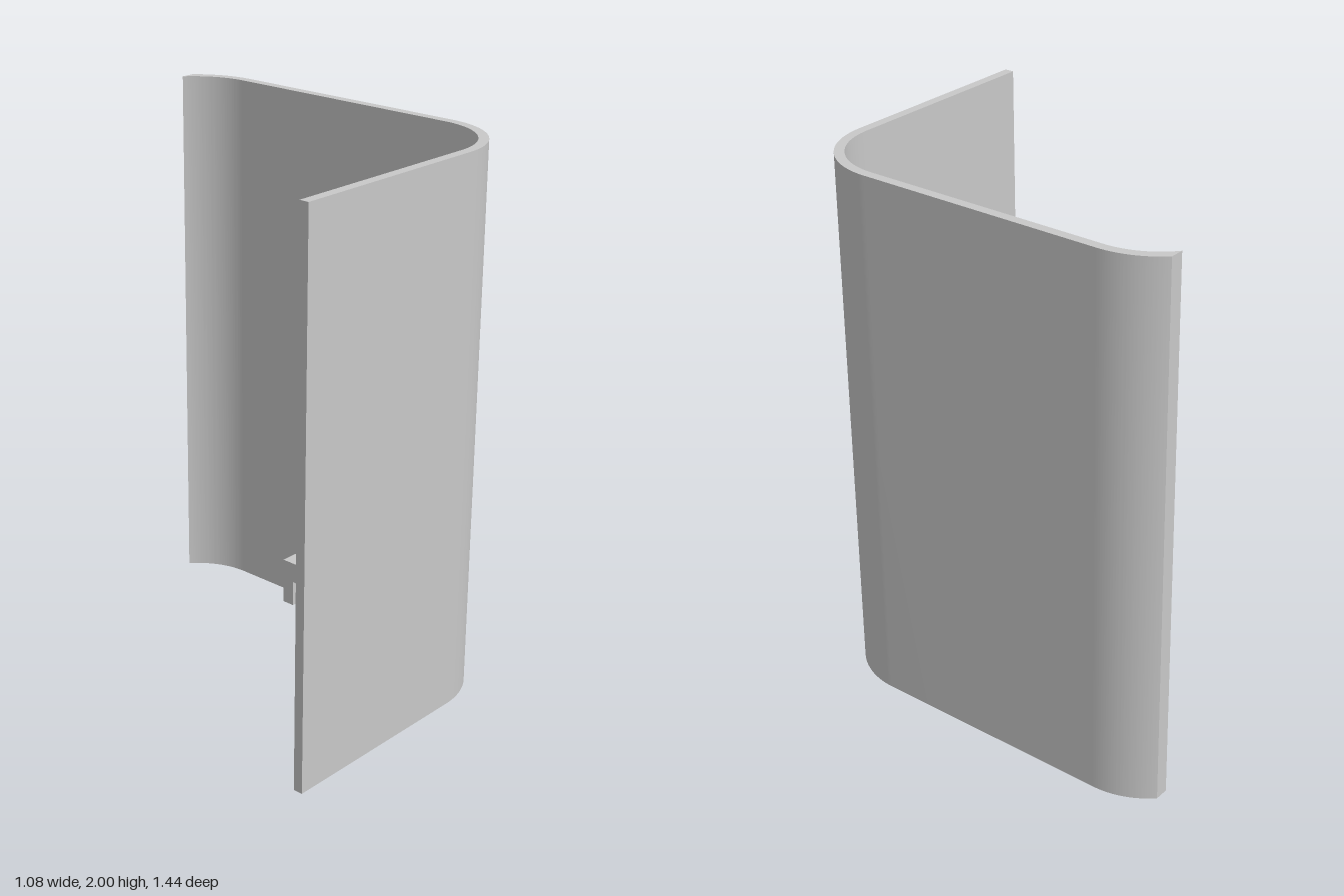
import * as THREE from 'three';
import { toCreasedNormals } from 'three/addons/utils/BufferGeometryUtils.js';

const grey = new THREE.MeshStandardMaterial({ color: 0xc8c8c8 });
grey.name = 'plain grey';

const extrude = (shape, depth) =>
  new THREE.ExtrudeGeometry(shape, { depth, bevelEnabled: false, curveSegments: 24 });

function part(name, geometry) {
  const mesh = new THREE.Mesh(geometry, grey);
  mesh.name = name;
  return mesh;
}

const polygon = (points) => new THREE.Shape(points.map(([x, y]) => new THREE.Vector2(x, y)));

// Curved sheet: plan outline drawn in (x, -z) and raised along y
function panel() {
  const end = 0.72, side = 0.54, t = 0.035, r = 0.305;
  const cx = side - r, front = r - end, back = 0.51;
  const s = new THREE.Shape();
  s.moveTo(-side, -end);
  s.lineTo(cx, -end);
  s.absarc(cx, front, r, -Math.PI / 2, 0, false);
  s.absarc(cx, back, r, 0, Math.asin((end - back) / r), false);
  s.absarc(cx, back, r - t, Math.asin((end - back) / (r - t)), 0, true);
  s.absarc(cx, front, r - t, 0, -Math.PI / 2, true);
  s.lineTo(-side, -end + t);
  s.closePath();
  return toCreasedNormals(extrude(s, 2).rotateX(-Math.PI / 2), 0.5);
}

// Two-legged bracket: outline drawn in (z, y), running inward from the panel
function bracket() {
  const s = polygon([
    [-0.22, 0], [-0.17, 0], [-0.17, 0.1], [0.08, 0.1],
    [0.08, 0], [0.13, 0], [0.13, 0.18], [-0.22, 0.18],
  ]);
  return extrude(s, 0.086).rotateY(-Math.PI / 2).translate(0.506, 0, 0);
}

// Upright clip arm with a hooked tip: profile drawn in (x, y)
function clipArm() {
  const s = polygon([
    [0.42, 0.175], [0.45, 0.175], [0.45, 0.53], [0.423, 0.53],
    [0.395, 0.502], [0.395, 0.478], [0.42, 0.455],
  ]);
  return extrude(s, 0.12).translate(0, 0, -0.105);
}

export function createModel() {
  const model = new THREE.Group();
  model.name = 'curvedPanel';
  model.add(part('panel', panel()), part('bracket', bracket()), part('clipArm', clipArm()));
  return model;
}
